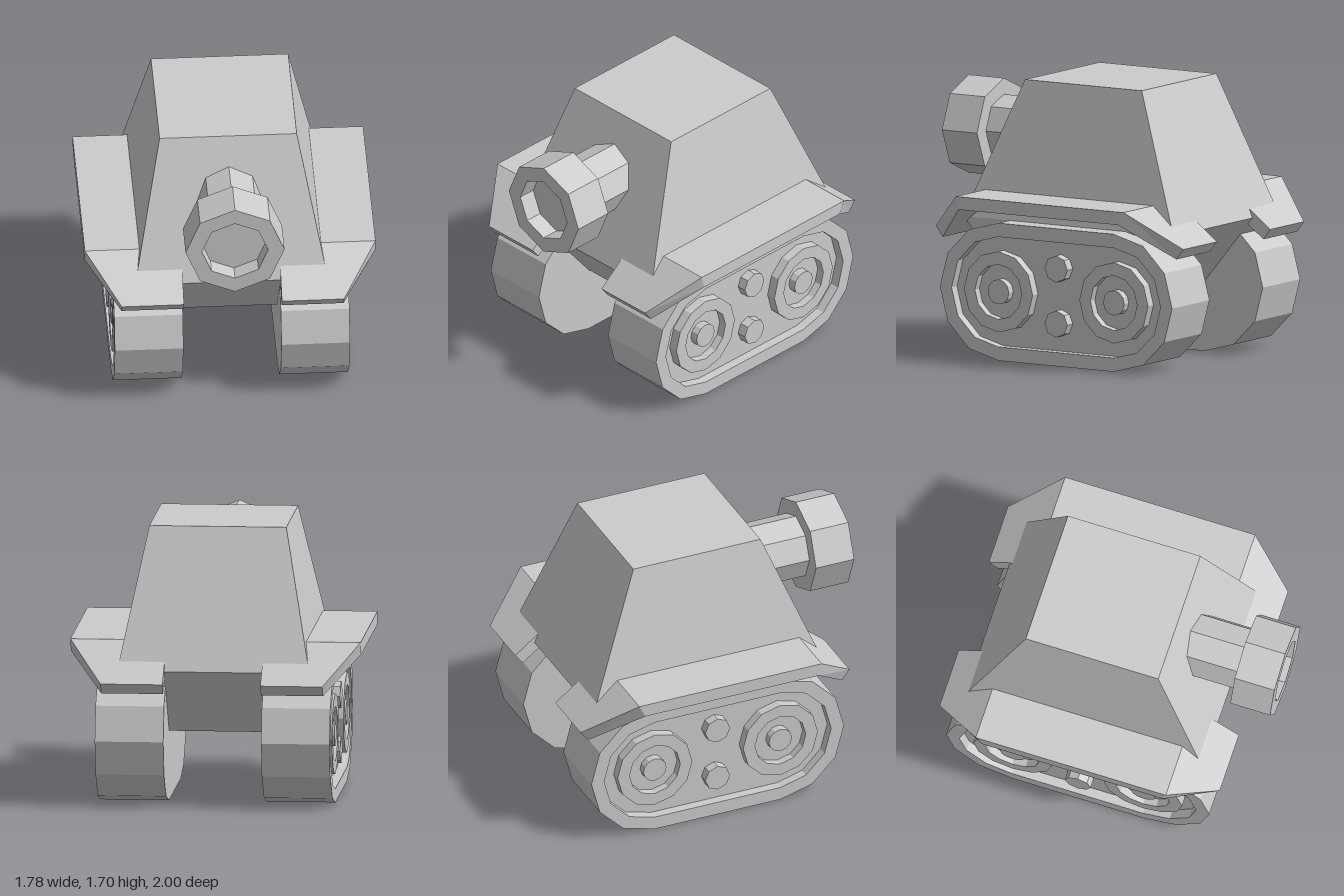
import * as THREE from 'three';

const material = new THREE.MeshStandardMaterial({ color: 0xcccccc, flatShading: true });

// Solid through four-cornered rings, each counter-clockwise seen from the last ring's side
function loft(rings) {
  const index = [];
  const last = (rings.length - 1) * 4;
  for (let r = 0; r < last; r += 4) {
    for (let i = 0; i < 4; i++) {
      const j = (i + 1) % 4;
      index.push(r + i, r + j, r + 4 + j, r + i, r + 4 + j, r + 4 + i);
    }
  }
  index.push(0, 2, 1, 0, 3, 2, last, last + 1, last + 2, last, last + 2, last + 3);
  const geo = new THREE.BufferGeometry();
  geo.setAttribute('position', new THREE.Float32BufferAttribute(rings.flat(2), 3));
  geo.setIndex(index);
  return geo;
}

// Horizontal rectangle as a loft ring
const level = (y, halfX, front, back) =>
  [[-halfX, y, front], [halfX, y, front], [halfX, y, back], [-halfX, y, back]];

// Turned part, profile given as [radius, height]
const turned = (profile, sides) =>
  new THREE.LatheGeometry(profile.map(([r, h]) => new THREE.Vector2(r, h)), sides);

// Track outline: two half twelve-gons around the wheel axles, drawn with x = -z
const AXLES = [0.32, -0.52];
const AXLE_Y = 0.425;
function trackOutline(radius) {
  const points = [];
  AXLES.forEach((z, n) => {
    for (let k = 0; k <= 6; k++) {
      const a = (n ? -Math.PI / 2 : Math.PI / 2) + k * Math.PI / 6;
      points.push(new THREE.Vector2(-z + radius * Math.cos(a), AXLE_Y + radius * Math.sin(a)));
    }
  });
  return points;
}

function trackSlab(x, width, holeRadius) {
  const shape = new THREE.Shape(trackOutline(0.425));
  if (holeRadius) shape.holes.push(new THREE.Path(trackOutline(holeRadius)));
  return new THREE.ExtrudeGeometry(shape, { depth: width, bevelEnabled: false })
    .rotateY(Math.PI / 2).translate(x, 0, 0);
}

// Fender cross-section at one station along z
const fenderRing = (zTop, yTop, zLow, yLow, outer) =>
  [[0.3, yLow, zLow], [outer, yLow, zLow], [outer, yTop, zTop], [0.3, yTop, zTop]];

// Flat-shaded copy, mirrored across x with its winding restored when side is -1
function faceted(source, side = 1) {
  const geo = source.index ? source.toNonIndexed() : source.clone();
  if (side < 0) {
    geo.scale(-1, 1, 1);
    const p = geo.attributes.position;
    const b = new THREE.Vector3();
    const c = new THREE.Vector3();
    for (let i = 0; i < p.count; i += 3) {
      b.fromBufferAttribute(p, i + 1);
      c.fromBufferAttribute(p, i + 2);
      p.setXYZ(i + 1, c.x, c.y, c.z);
      p.setXYZ(i + 2, b.x, b.y, b.z);
    }
  }
  geo.computeVertexNormals();
  return geo;
}

export function createModel() {
  const model = new THREE.Group();
  model.name = 'tank';
  const add = (parent, name, geo, side) => {
    const mesh = new THREE.Mesh(faceted(geo, side), material);
    mesh.name = name;
    parent.add(mesh);
  };

  // Body: tapered cabin above, narrowing hull between the tracks
  add(model, 'cabin', loft([level(0.85, 0.59, 0.66, -0.87), level(1.7, 0.42, 0.32, -0.53)]));
  add(model, 'lowerHull', loft([level(0.43, 0.5, 0.32, -0.52), level(0.85, 0.59, 0.66, -0.87)]));

  // Gun with a wide hollow muzzle
  const gun = new THREE.Group();
  gun.name = 'gun';
  const alongZ = (profile) => turned(profile, 8).rotateX(Math.PI / 2).translate(0, 1.318, 0);
  add(gun, 'barrel', alongZ([[0, 0.3], [0.203, 0.3], [0.203, 0.76], [0, 0.76]]));
  add(gun, 'muzzle', alongZ([[0, 0.745], [0.303, 0.745], [0.303, 1], [0.203, 1], [0.203, 0.89], [0, 0.89]]));
  model.add(gun);

  // Side parts, facing +x before mirroring
  const alongX = (profile, sides, y, z) =>
    turned(profile, sides).rotateZ(-Math.PI / 2).translate(0.66, y, z);
  const wheel = [[0.25, 0], [0.25, 0.06], [0.17, 0.06], [0.17, 0.01], [0.077, 0.01], [0.077, 0.06], [0, 0.06]];
  const roller = [[0.083, 0], [0.083, 0.06], [0, 0.06]];
  const fender = loft([
    fenderRing(-1, 0.79, -0.95, 0.725, 0.68),
    fenderRing(-0.7, 1.02, -0.66, 0.94, 0.89),
    fenderRing(0.52, 1.02, 0.5, 0.94, 0.89),
    fenderRing(0.8, 0.79, 0.75, 0.725, 0.68),
  ]);

  for (const side of [1, -1]) {
    const unit = new THREE.Group();
    unit.name = side > 0 ? 'leftTrackUnit' : 'rightTrackUnit';
    add(unit, 'track', trackSlab(0.3, 0.36), side);
    add(unit, 'trackRim', trackSlab(0.66, 0.06, 0.34), side);
    AXLES.forEach((z, i) => add(unit, i ? 'rearWheel' : 'frontWheel', alongX(wheel, 12, AXLE_Y, z), side));
    for (const y of [0.6, 0.26]) {
      add(unit, y > 0.4 ? 'upperRoller' : 'lowerRoller', alongX(roller, 8, y, -0.1), side);
    }
    add(unit, 'fender', fender, side);
    model.add(unit);
  }
  return model;
}
